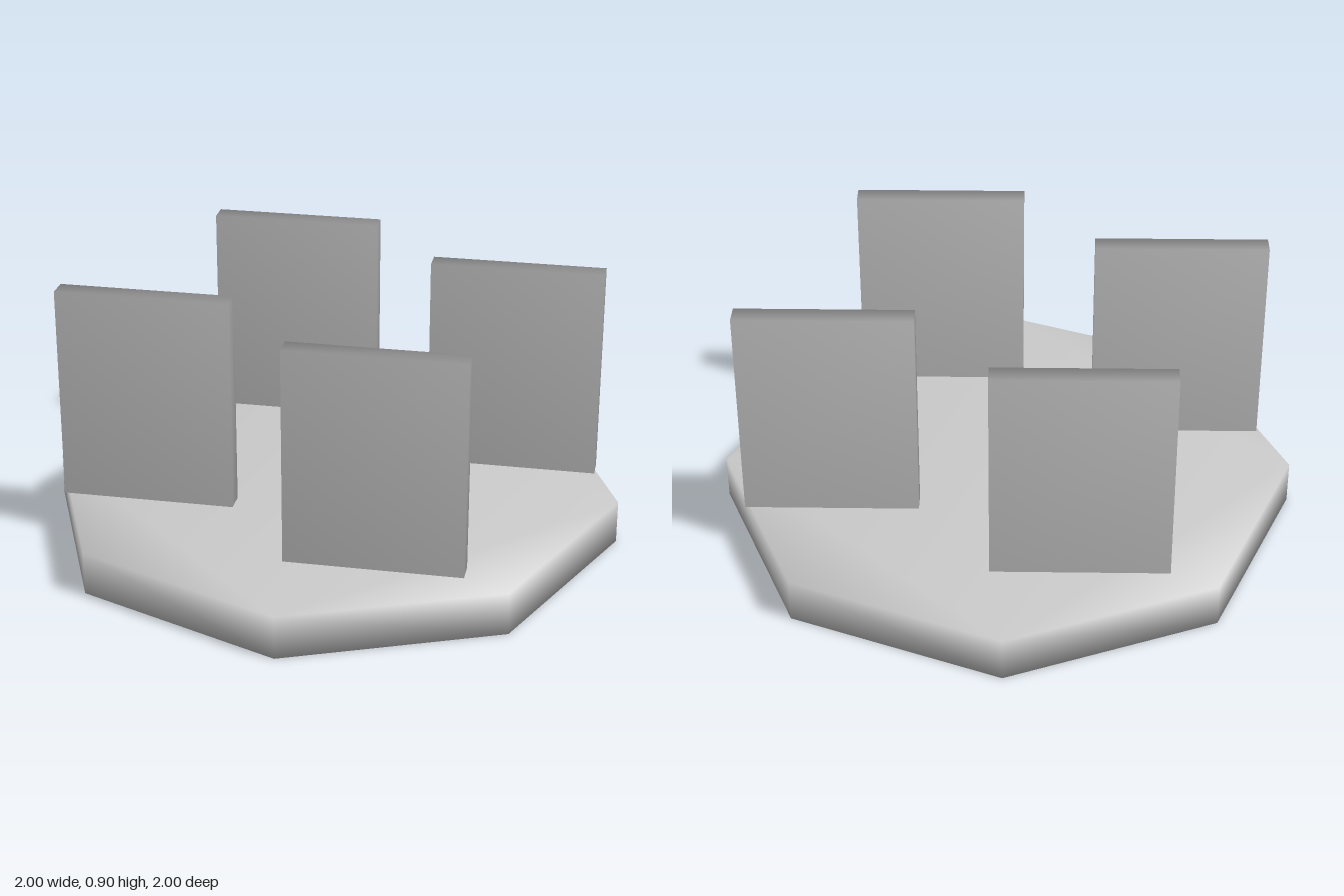
import * as THREE from 'three';
import { mergeVertices } from 'three/addons/utils/BufferGeometryUtils.js';

const material = new THREE.MeshStandardMaterial({ color: 0xcccccc });

// Weld shared corners so the shading runs softly over the edges
function soften(geometry) {
  geometry.deleteAttribute('normal');
  geometry.deleteAttribute('uv');
  const welded = mergeVertices(geometry, 1e-4);
  welded.computeVertexNormals();
  return welded;
}

function addPart(group, name, geometry, x, y, z) {
  const mesh = new THREE.Mesh(soften(geometry), material);
  mesh.name = name;
  mesh.position.set(x, y, z);
  group.add(mesh);
}

export function createModel() {
  const model = new THREE.Group();
  model.name = 'panelStand';

  // Octagonal base with corners on the axes
  const baseHeight = 0.15;
  const corners = Array.from({ length: 8 }, (_, i) => {
    const a = (i * Math.PI) / 4;
    return new THREE.Vector2(Math.cos(a), Math.sin(a));
  });
  const base = new THREE.ExtrudeGeometry(new THREE.Shape(corners), {
    depth: baseHeight,
    bevelEnabled: false,
  });
  base.rotateX(-Math.PI / 2);
  addPart(model, 'base', base, 0, 0, 0);

  // Four upright panels, staggered in opposite pairs
  const panelHeight = 0.75;
  const panels = [
    ['frontPanel', 0.25, 0.6],
    ['rightPanel', -0.6, 0.25],
    ['backPanel', -0.25, -0.6],
    ['leftPanel', 0.6, -0.25],
  ];
  for (const [name, x, z] of panels) {
    const panel = new THREE.BoxGeometry(0.6, panelHeight, 0.075);
    addPart(model, name, panel, x, baseHeight + panelHeight / 2, z);
  }

  return model;
}
